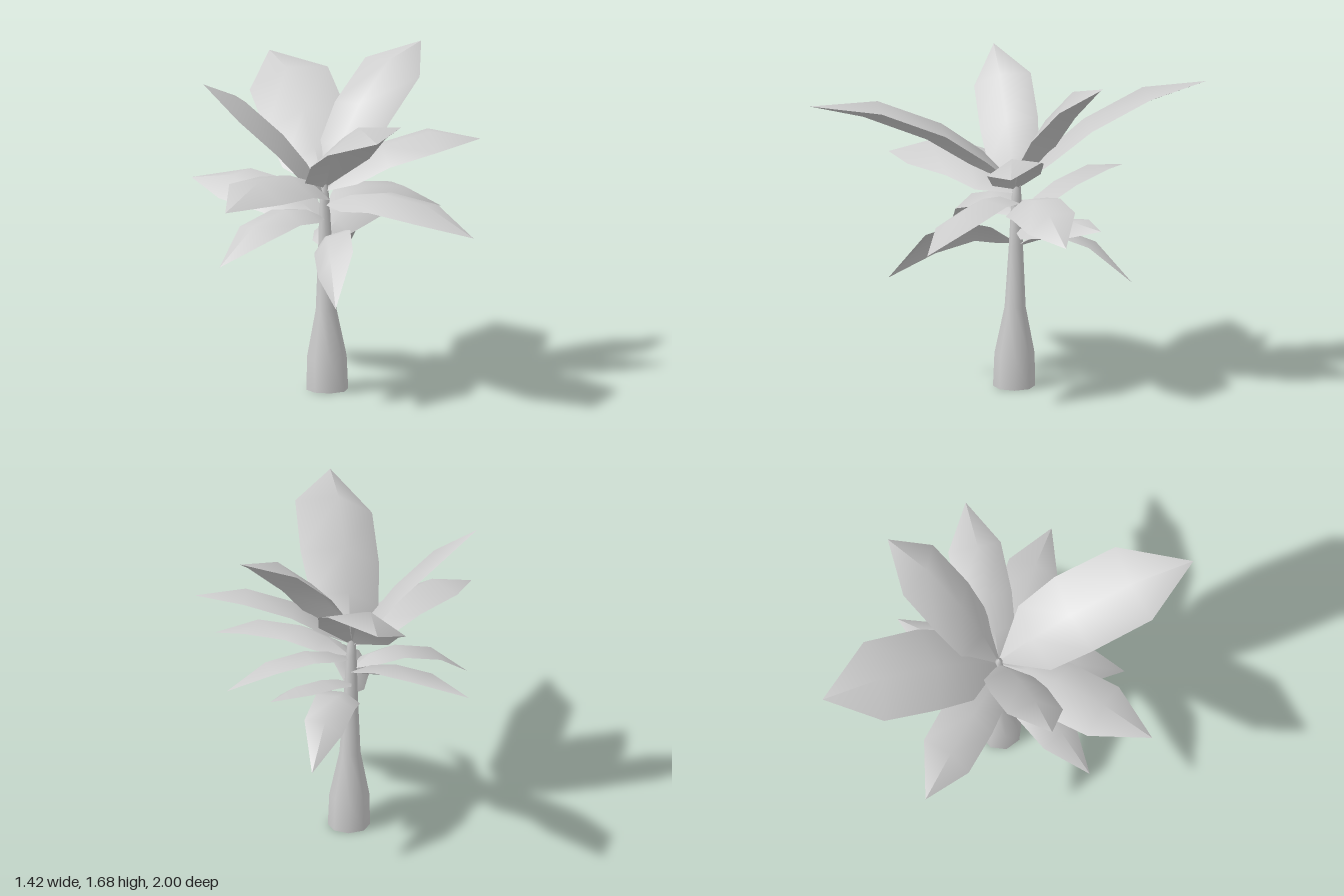
import * as THREE from 'three';

// Each leaf: tip position, height where it joins the stem, upward arch, half width, roll
const LEAVES = [
  { tip: [0.03, 1.48, 1.0], base: 1.04, arch: 0.15, half: 0.21, roll: 0.3 },
  { tip: [-0.21, 1.54, -1.0], base: 1.02, arch: 0.14, half: 0.21, roll: -0.3 },
  { tip: [-0.71, 1.61, 0.06], base: 1.0, arch: 0.09, half: 0.15, roll: -0.35 },
  { tip: [0.48, 1.68, -0.47], base: 1.03, arch: 0.15, half: 0.17, roll: 0.25 },
  { tip: [0.71, 1.27, 0.0], base: 1.02, arch: 0.12, half: 0.145, roll: 0.25 },
  { tip: [0.61, 0.85, 0.42], base: 0.95, arch: 0.11, half: 0.135, roll: 0.2 },
  { tip: [-0.68, 1.06, 0.59], base: 1.0, arch: 0.12, half: 0.17, roll: -0.2 },
  { tip: [-0.67, 0.99, -0.59], base: 0.86, arch: 0.08, half: 0.145, roll: -0.4 },
  { tip: [-0.66, 0.71, 0.27], base: 0.88, arch: 0.13, half: 0.115, roll: -0.2 },
  { tip: [0.12, 0.58, -0.62], base: 0.72, arch: 0.16, half: 0.105, roll: -0.3 },
  { tip: [-0.12, 0.55, 0.6], base: 0.74, arch: 0.16, half: 0.115, roll: 0.7 },
  { tip: [0.33, 0.9, -0.46], base: 0.8, arch: 0.04, half: 0.11, roll: 0.3 },
  { tip: [0.55, 0.87, -0.28], base: 0.93, arch: 0.1, half: 0.135, roll: 0.35 },
];

// Fraction along the leaf and relative width there
const ROWS = [[0, 0.04], [0.17, 0.86], [0.37, 1], [0.68, 0.98], [1, 0]];
const STEM = { x: -0.075, z: -0.04 };

// Leaf blade: rows of left edge, raised midrib and right edge along an arched spine
function leafGeometry({ tip, base, arch, half, roll }) {
  const start = new THREE.Vector3(STEM.x, base, STEM.z);
  const end = new THREE.Vector3(...tip);
  const along = end.clone().sub(start).normalize();
  const side = new THREE.Vector3(along.z, 0, -along.x).normalize().applyAxisAngle(along, roll);
  const normal = along.clone().cross(side).normalize();
  const positions = [];
  const index = [];
  ROWS.forEach(([t, width], i) => {
    const spine = start.clone().lerp(end, t);
    spine.y += 4 * arch * t * (1 - t);
    for (const s of [-1, 0, 1]) {
      const p = spine.clone().addScaledVector(side, s * half * width);
      p.addScaledVector(normal, (s ? -0.24 : 0.14) * half * width);
      positions.push(p.x, p.y, p.z);
    }
    if (i === 0) return;
    for (let j = 0; j < 2; j++) {
      const a = (i - 1) * 3 + j;
      const c = a + 3;
      // The last row closes to a single point
      index.push(a, c, a + 1);
      if (i < ROWS.length - 1) index.push(a + 1, c, c + 1);
    }
  });
  // Wind the faces so the upper side is the front
  index.reverse();
  const geometry = new THREE.BufferGeometry();
  geometry.setAttribute('position', new THREE.Float32BufferAttribute(positions, 3));
  geometry.setIndex(index);
  geometry.computeVertexNormals();
  return geometry;
}

export function createModel() {
  const model = new THREE.Group();
  model.name = 'palmPlant';
  const grey = new THREE.MeshStandardMaterial({ color: 0xcccccc, side: THREE.DoubleSide });
  grey.name = 'plainGrey';

  // Trunk: swollen foot, slim neck and pointed bud, open underneath
  const profile = [
    [0.106, 0], [0.101, 0.17], [0.053, 0.41], [0.036, 0.72],
    [0.026, 0.96], [0.018, 1.06], [0, 1.09],
  ].map(([r, y]) => new THREE.Vector2(r, y));
  const trunkGeometry = new THREE.LatheGeometry(profile, 8);
  const p = trunkGeometry.attributes.position;
  for (let i = 0; i < p.count; i++) {
    // Slight lean of the stem
    p.setX(i, p.getX(i) - 0.065 - 0.013 * p.getY(i));
    p.setZ(i, p.getZ(i) - 0.03 - 0.013 * p.getY(i));
  }
  const trunk = new THREE.Mesh(trunkGeometry, grey);
  trunk.name = 'trunk';
  model.add(trunk);

  // Crown of leaves
  const crown = new THREE.Group();
  crown.name = 'leaves';
  LEAVES.forEach((leaf, i) => {
    const mesh = new THREE.Mesh(leafGeometry(leaf), grey);
    mesh.name = `leaf${i + 1}`;
    crown.add(mesh);
  });
  model.add(crown);
  return model;
}
